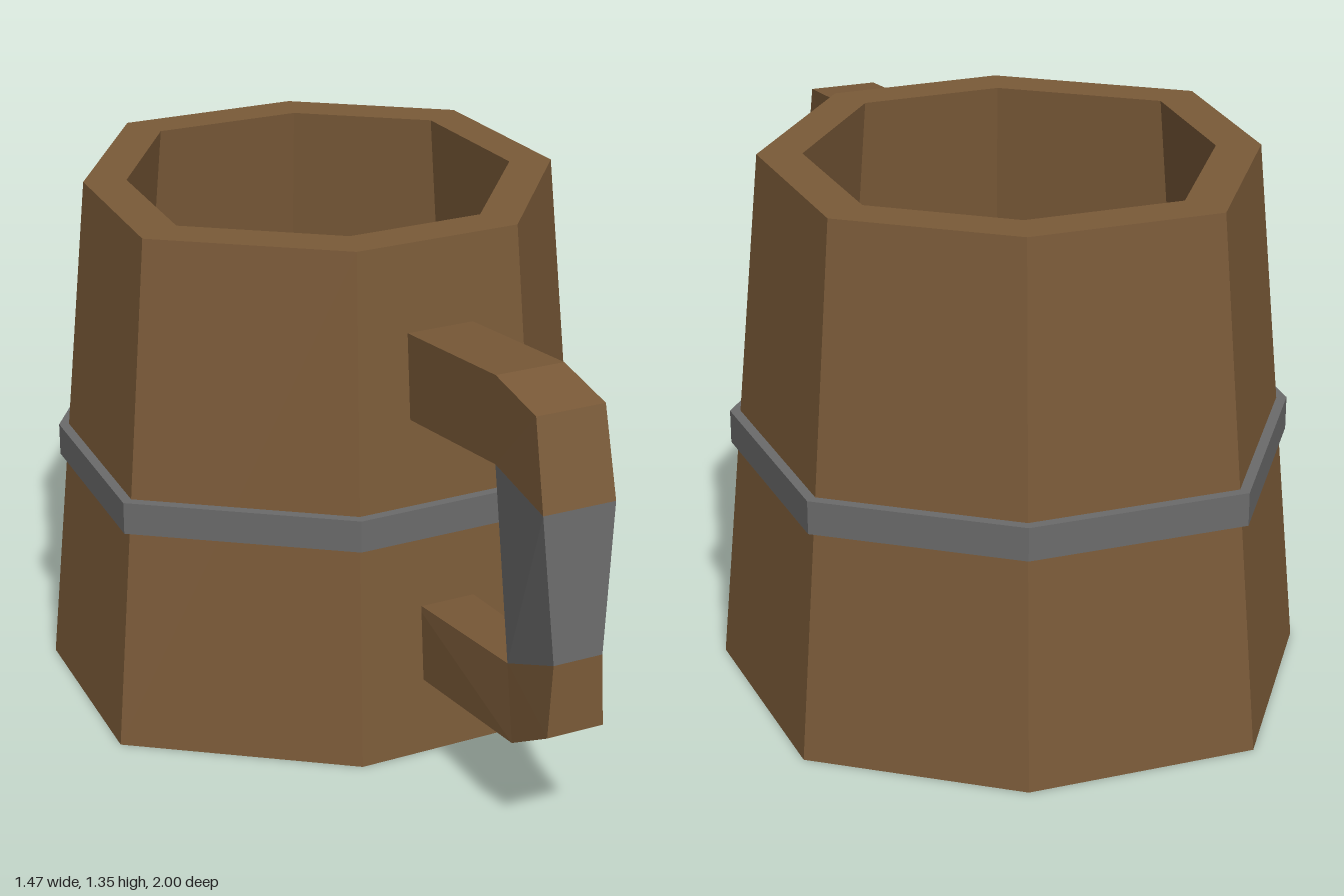
import * as THREE from 'three';

const wood = new THREE.MeshStandardMaterial({ color: 0x7a5a38, flatShading: true });
const metal = new THREE.MeshStandardMaterial({ color: 0x6b6b6b, flatShading: true });

// Skin a series of closed rings (arrays of [x, y, z]) with flat quads.
function loft(name, rings, material) {
  const pos = [];
  for (let k = 0; k < rings.length - 1; k++) {
    const n = rings[k].length;
    for (let i = 0; i < n; i++) {
      const j = (i + 1) % n;
      const a = rings[k][i], b = rings[k][j], c = rings[k + 1][j], d = rings[k + 1][i];
      pos.push(...a, ...b, ...c, ...a, ...c, ...d);
    }
  }
  const geo = new THREE.BufferGeometry();
  geo.setAttribute('position', new THREE.Float32BufferAttribute(pos, 3));
  geo.computeVertexNormals();
  const mesh = new THREE.Mesh(geo, material);
  mesh.name = name;
  return mesh;
}

// Slightly irregular octagonal plan of the mug base, as [x, z]
const plan = [
  [0, 0.737], [0.505, 0.577], [0.735, 0], [0.53, -0.557],
  [0, -0.737], [-0.555, -0.577], [-0.737, 0], [-0.6, 0.535],
];

// Profile of [scale, y] pairs swept around the octagonal plan
const turned = (name, profile, material) =>
  loft(name, profile.map(([s, y]) => plan.map(([x, z]) => [x * s, y, z * s])), material);

// Handle cross-section from [reach, height, width] of its outer and inner edges
const section = ([[so, yo, wo], [si, yi, wi]]) => [
  [wo / 2, yo, so], [-wo / 2, yo, so], [-wi / 2, yi, si], [wi / 2, yi, si],
];

export function createModel() {
  const model = new THREE.Group();
  model.name = 'mug';

  // Tapered hollow body, floor set slightly above the bottom edge, and metal hoop
  const body = new THREE.Group();
  body.name = 'body';
  body.position.z = -0.263;
  body.add(
    turned('wall', [[0.868, 0], [1, 0], [0.828, 1.345], [0.678, 1.345], [0.868, 0]], wood),
    turned('floor', [[0, 0.055], [0.87, 0.055], [0.86, 0.12], [0, 0.12]], wood),
    turned('hoop', [[0.9, 0.59], [0.949, 0.59], [0.949, 0.675], [0.9, 0.675], [0.9, 0.59]], metal),
  );

  // Handle, built along +z and turned to face out of the front-left stave
  const handle = new THREE.Group();
  handle.name = 'handle';
  handle.position.set(0.2125, 0, 0.295);
  handle.rotation.y = 0.295;
  const topInner = [0.46, 0.96, 0.18], lowInner = [0.5, 0.45, 0.13];
  const gripTop = [[0.695, 0.93, 0.19], topInner];
  const gripLow = [[0.715, 0.55, 0.13], lowInner];
  const upper = [
    [[-0.04, 1.115, 0.18], [-0.02, 0.893, 0.18]],
    [[0.45, 1.18, 0.18], topInner],
    [[0.64, 1.152, 0.18], topInner],
    gripTop,
  ];
  const lower = [
    gripLow,
    [[0.715, 0.36, 0.15], lowInner],
    [[0.55, 0.26, 0.15], lowInner],
    [[0.05, 0.195, 0.15], [0.03, 0.397, 0.15]],
  ];
  handle.add(
    loft('upperArm', upper.map(section), wood),
    loft('grip', [gripTop, gripLow].map(section), metal),
    loft('lowerArm', lower.map(section), wood),
  );

  model.add(body, handle);
  return model;
}
